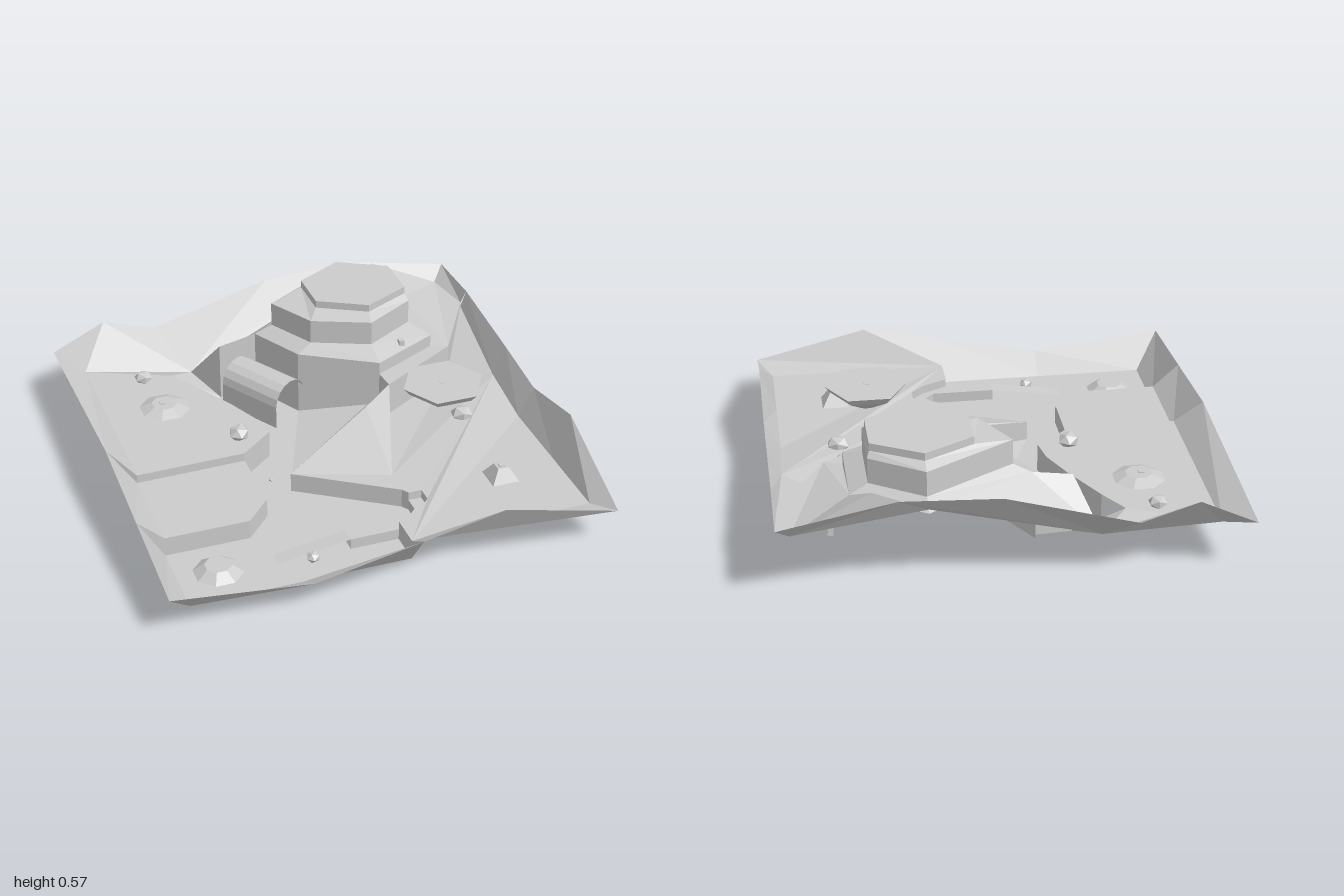
import * as THREE from 'three';

const material = new THREE.MeshStandardMaterial({ color: 0xcccccc, flatShading: true, side: THREE.DoubleSide });

export function createModel() {
  const model = new THREE.Group();

  const add = (name, geometry, x = 0, y = 0, z = 0) => {
    const mesh = new THREE.Mesh(geometry, material);
    mesh.name = name;
    mesh.position.set(x, y, z);
    model.add(mesh);
  };
  const fromPoints = (points, index) => {
    const g = new THREE.BufferGeometry();
    g.setAttribute('position', new THREE.Float32BufferAttribute(points.flat(), 3));
    g.setIndex(index);
    const flat = g.toNonIndexed();
    flat.computeVertexNormals();
    return flat;
  };
  // Surface filling an outline of [x, y, z] corners, triangulated in plan
  const patch = (name, points) => {
    const outline = points.map(([x, , z]) => new THREE.Vector2(x, -z));
    const up = THREE.ShapeUtils.isClockWise(outline);
    const faces = THREE.ShapeUtils.triangulateShape(outline, []);
    add(name, fromPoints(points, faces.flatMap(([a, b, c]) => (up ? [a, c, b] : [a, b, c]))));
  };
  const level = (pts, y) => pts.map(([x, z]) => [x, y, z]);
  const floor = (name, pts, y) => patch(name, level(pts, y));
  // Strip between two lines of equal length
  const strip = (name, low, high) => {
    const n = low.length, index = [];
    for (let i = 0; i < n - 1; i++) index.push(i, i + 1, n + i, i + 1, n + i + 1, n + i);
    add(name, fromPoints([...low, ...high], index));
  };
  const wall = (name, pts, y0, y1) => strip(name, level(pts, y0), level(pts, y1));

  // Shared outlines in plan, [x, z]
  const leftBank = [[-0.88, 0.5], [-0.5, 0.5], [-0.38, 0.37], [-0.38, 0.05]];
  const upperBank = [[-0.38, 0.05], [-0.22, -0.08], [-0.24, -0.2], [-0.31, -0.36], [-0.42, -0.57]];
  const rightBank = [[-0.22, 0.22], [0.2, 0.5], [0.22, 0.53]];
  const frontBank = [[0.1, 0.72], [0.1, 0.87]];
  const pathInner = [[0.22, 0.53], [0.22, 0.6], [0.17, 0.65], [-0.12, 0.65]];
  const pathOuter = [[0.28, 0.53], [0.28, 0.6], [0.22, 0.66], [0.1, 0.72]];
  const base = [[-0.1, -0.65], [0.03, -0.4], [0.36, -0.2], [0.68, -0.36], [0.68, -0.74], [0.37, -0.94]];
  const body = [[-0.02, -0.64], [0.1, -0.42], [0.36, -0.31], [0.6, -0.45], [0.6, -0.72], [0.37, -0.87]];
  const crown = [[0.15, -0.7], [0.15, -0.49], [0.37, -0.37], [0.59, -0.48], [0.59, -0.7], [0.37, -0.82]];

  // Sunken channel, rising towards the building, and the ground on both sides
  floor('channelFloor', [[-0.88, 0.87], ...leftBank, ...upperBank.slice(1), [-0.28, -0.64],
    ...base.slice(0, 2), ...rightBank, ...pathInner.slice(1), [-0.12, 0.72], ...frontBank], 0.05);
  patch('channelSlope', [[-0.22, 0.05, 0.22], [0.03, 0.05, -0.4], [0.36, 0.14, -0.2], [0.37, 0.14, -0.1]]);
  wall('leftBankWall', leftBank, 0.05, 0.14);
  wall('upperBankWall', upperBank, 0.05, 0.18);
  wall('rightBankWall', rightBank, 0.05, 0.14);
  wall('frontBankWall', frontBank, 0.05, 0.14);
  floor('leftTerrace', [...leftBank, [-0.88, 0.06]], 0.14);
  wall('leftTerraceStep', [[-0.88, 0.06], [-0.38, 0.05]], 0.14, 0.18);
  floor('backLeftGround', [[-0.88, 0.06], ...upperBank, [-0.5, -0.7], [-0.88, -0.87]], 0.18);
  patch('rightGround', [...level([...rightBank, ...pathOuter, [0.1, 0.87], [0.93, 0.87], [0.93, 0.12]], 0.14),
    [0.94, 0.18, -0.2], [0.98, 0.28, -0.7], ...level([[0.76, -0.33], [0.37, -0.1], [0.2, 0.38]], 0.14)]);

  // Raised path with a ramp up from the channel
  floor('path', [...pathInner, [-0.12, 0.72], ...[...pathOuter].reverse()], 0.1);
  wall('pathInnerWall', pathInner, 0.05, 0.1);
  wall('pathOuterWall', [[0.22, 0.53], ...pathOuter], 0.1, 0.14);
  wall('pathFrontWall', [[-0.12, 0.72], [0.1, 0.72]], 0.05, 0.1);
  strip('pathRamp', [[-0.45, 0.05, 0.65], [-0.12, 0.1, 0.65]], [[-0.45, 0.05, 0.72], [-0.12, 0.1, 0.72]]);

  // Upper terrace, its cliff and the slope leading up to it
  patch('upperTerrace', [[0.37, 0.3, -0.1], [0.76, 0.3, -0.33], [0.98, 0.3, -0.7], [0.94, 0.3, -0.94],
    [0.6, 0.47, -0.93], [0.68, 0.36, -0.74], [0.68, 0.3, -0.36], [0.36, 0.3, -0.2]]);
  strip('terraceCliff', [[0.2, 0.14, 0.38], [0.37, 0.14, -0.1], [0.76, 0.14, -0.33], [0.98, 0.28, -0.7]],
    [[0.2, 0.14, 0.38], [0.37, 0.3, -0.1], [0.76, 0.3, -0.33], [0.98, 0.3, -0.7]]);
  patch('rampTop', [[-0.22, 0.14, 0.22], [0.2, 0.14, 0.38], [0.22, 0.27, 0], [0.37, 0.3, -0.1]]);
  patch('rampSide', [[0.2, 0.14, 0.38], [0.37, 0.3, -0.1], [0.22, 0.27, 0]]);
  strip('rampWall', [[-0.22, 0.05, 0.22], [0.37, 0.14, -0.1], [0.36, 0.14, -0.2]],
    [[-0.22, 0.14, 0.22], [0.37, 0.3, -0.1], [0.36, 0.3, -0.2]]);

  // Raised rim around the square, outer edge first
  strip('leftRim',
    [[-1, 0.24, -1], [-1, 0.3, 0], [-1, 0.3, 0], [-1, 0.25, 0.5], [-1, 0.25, 0.5], [-1, 0.2, 1]],
    [[-0.88, 0.18, -0.87], [-0.88, 0.18, 0.06], [-0.88, 0.14, 0.06], [-0.88, 0.14, 0.5], [-0.88, 0.05, 0.5], [-0.88, 0.05, 0.87]]);
  strip('frontLeftRim', [[-1, 0.2, 1], [-0.38, 0.13, 1], [0.1, 0.226, 1]],
    [[-0.88, 0.05, 0.87], [-0.38, 0.05, 0.87], [0.1, 0.05, 0.87]]);
  strip('frontRightRim', [[0.1, 0.226, 1], [0.47, 0.3, 1], [1, 0.17, 1]],
    [[0.1, 0.14, 0.87], [0.1, 0.14, 0.87], [0.93, 0.14, 0.87]]);
  patch('frontRimEnd', [[0.1, 0.226, 1], [0.1, 0.05, 0.87], [0.1001, 0.14, 0.87]]);
  strip('rightRim', [[1, 0.17, 1], [1, 0.36, 0.5], [1, 0.28, 0.12], [1, 0.32, -0.2], [1, 0.37, -0.68]],
    [[0.93, 0.14, 0.87], [0.93, 0.14, 0.5], [0.93, 0.14, 0.12], [0.94, 0.18, -0.2], [0.98, 0.28, -0.7]]);
  strip('backRightRim', [[1, 0.37, -0.68], [1, 0.36, -1]], [[0.98, 0.3, -0.7], [0.94, 0.3, -0.94]]);
  patch('backLeftRim', [[-1, 0.24, -1], [-0.75, 0.36, -1], [-0.5, 0.28, -1], [-0.38, 0.12, -0.8],
    [-0.5, 0.18, -0.7], [-0.88, 0.18, -0.87]]);
  patch('backRim', [[-0.5, 0.28, -1], [0.07, 0.44, -1], [0.5, 0.46, -1], [1, 0.36, -1], [0.94, 0.3, -0.94],
    [0.6, 0.47, -0.93], [0.37, 0.38, -0.94], [-0.1, 0.36, -0.65], [-0.28, 0.33, -0.64], [-0.38, 0.12, -0.8]]);
  patch('rimFace', [[0.6, 0.47, -0.93], [0.37, 0.38, -0.94], [0.68, 0.36, -0.74]]);
  patch('channelHead', [[-0.42, 0.05, -0.57], [-0.5, 0.18, -0.7], [-0.38, 0.12, -0.8], [-0.28, 0.05, -0.64]]);
  patch('channelHeadSide', [[-0.28, 0.05, -0.64], [-0.38, 0.12, -0.8], [-0.28, 0.33, -0.641]]);
  strip('channelHeadWall', [[-0.28, 0.05, -0.64], [-0.1, 0.05, -0.65]], [[-0.28, 0.33, -0.64], [-0.1, 0.36, -0.65]]);

  // Stepped six-sided building, open underneath
  const ring = (name, a, y0, b, y1) => strip(name, level([...a, a[0]], y0), level([...b, b[0]], y1));
  strip('baseFrontWalls', [[-0.1, 0.05, -0.65], [0.03, 0.05, -0.4], [0.36, 0.14, -0.2]], level(base.slice(0, 3), 0.36));
  wall('baseSideWalls', base.slice(2, 5), 0.3, 0.36);
  ring('baseLedge', base, 0.36, body, 0.4);
  ring('bodyWalls', body, 0.4, body, 0.515);
  ring('bodyRoof', body, 0.515, crown, 0.54);
  ring('crownWalls', crown, 0.54, crown, 0.575);
  floor('crownRoof', crown, 0.575);

  // Vaulted passage beside the building: straight legs and a round top, swept along its axis
  const profile = [[-0.1, 0.05]];
  for (let i = 0; i <= 8; i++) {
    const a = Math.PI * (1 - i / 8);
    profile.push([0.1 * Math.cos(a), 0.16 + 0.1 * Math.sin(a)]);
  }
  profile.push([0.1, 0.05]);
  const vaultEnd = (x, z) => profile.map(([u, y]) => [x + u * 0.866, y, z - u * 0.5]);
  strip('passageVault', vaultEnd(-0.2, -0.63), vaultEnd(-0.03, -0.34));

  const lathe = (points, sides) => new THREE.LatheGeometry(points.map(([r, y]) => new THREE.Vector2(r, y)), sides);

  // Floating six-sided platform
  add('floatingPlatform', lathe([[0, -0.125], [0.05, -0.1], [0.16, -0.035], [0.19, 0], [0, 0]], 6).rotateY(Math.PI / 2),
    0.53, 0.425, 0.15);

  // Low mounds and a small pyramid
  const mound = (name, x, y, z, r0, r1, h, sides) =>
    add(name, lathe([[r0, 0], [r1, h], [0, h]], sides).rotateY(Math.PI / sides), x, y, z);
  mound('backMound', -0.61, 0.175, -0.44, 0.13, 0.06, 0.03, 8);
  mound('frontMound', -0.7, 0.05, 0.68, 0.11, 0.06, 0.035, 8);
  mound('pyramid', 0.65, 0.14, 0.55, 0.088, 0.035, 0.06, 4);

  // Scattered rocks
  [[-0.64, 0.2, -0.7, 0.045], [-0.36, 0.2, -0.09, 0.055], [0.66, 0.175, -0.12, 0.055], [0.67, 0.175, 0.06, 0.055],
    [-0.3, 0.075, 0.75, 0.035], [-0.28, 0.06, 0.12, 0.012]].forEach(([x, y, z, r], i) => {
    add('rock', new THREE.IcosahedronGeometry(r, 0).scale(1, 0.7, 0.9).rotateY(i), x, y, z);
  });

  // Small posts set into the ground
  [[-0.62, 0.185, -0.44], [-0.7, 0.03, 0.68], [0.53, 0.402, 0.15], [0.65, 0.18, 0.55], [0.51, 0.37, -0.31],
    [0.77, 0.28, -0.87]].forEach(([x, y, z]) =>
    add('post', new THREE.BoxGeometry(0.025, y < 0.1 ? 0.06 : 0.05, 0.025), x, y, z));

  return model;
}
